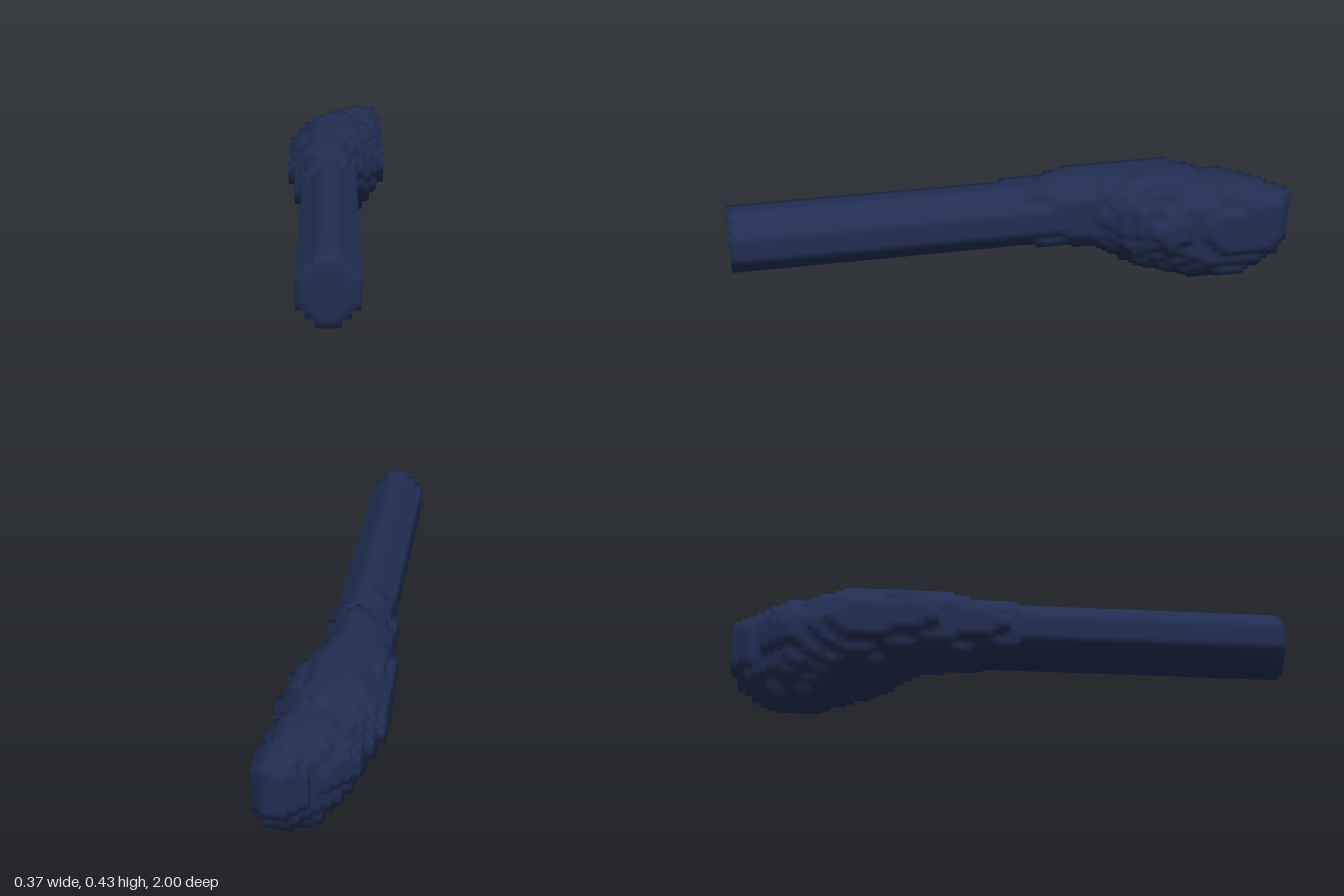
import * as THREE from 'three';

const H = 1 / 35;                       // size of one stepped cell
const NX = 13, NY = 15, NZ = 70;
const X0 = -NX * H / 2, Z0 = -1;

// Cross-sections along z: [z, left, right, bottom, top, widest x, widest y, lower left roundness]
const SECTIONS = [
  [-1.00, 0.08, 0.16, 0.18, 0.36, 0.12, 0.27, 2],
  [-0.96, 0.04, 0.19, 0.12, 0.38, 0.13, 0.26, 2],
  [-0.90, 0.00, 0.19, 0.06, 0.387, 0.09, 0.25, 1.8],
  [-0.84, -0.07, 0.19, 0.02, 0.405, 0.06, 0.25, 1.6],
  [-0.79, -0.12, 0.19, 0.005, 0.41, 0.04, 0.25, 1.5],
  [-0.72, -0.135, 0.18, 0.005, 0.41, 0.03, 0.25, 1.5],
  [-0.65, -0.17, 0.167, 0.005, 0.418, 0.01, 0.26, 1.5],
  [-0.58, -0.19, 0.167, 0.03, 0.435, 0.00, 0.27, 1.5],
  [-0.48, -0.19, 0.167, 0.06, 0.435, -0.01, 0.28, 1.6],
  [-0.40, -0.19, 0.135, 0.09, 0.435, -0.02, 0.29, 1.7],
  [-0.34, -0.19, 0.09, 0.125, 0.435, -0.03, 0.29, 1.8],
  [-0.28, -0.175, 0.075, 0.15, 0.435, -0.03, 0.29, 1.9],
  [-0.14, -0.16, 0.073, 0.155, 0.418, -0.03, 0.286, 2],
  [-0.04, -0.15, 0.073, 0.17, 0.405, -0.03, 0.286, 2],
  [0.05, -0.13, 0.073, 0.171, 0.401, -0.03, 0.286, 2],
  [1.00, -0.13, 0.073, 0.171, 0.401, -0.03, 0.286, 2],
];

function sectionAt(z) {
  let i = 0;
  while (i < SECTIONS.length - 2 && SECTIONS[i + 1][0] < z) i++;
  const a = SECTIONS[i], b = SECTIONS[i + 1];
  const t = (z - a[0]) / (b[0] - a[0]);
  return a.map((v, k) => v + (b[k] - v) * t);
}

// True where a cell lies within the rounded cross-section or the side knob
function solid(i, j, k) {
  if (i < 0 || j < 0 || k < 0 || i >= NX || j >= NY || k >= NZ) return false;
  const x = X0 + (i + 0.5) * H, y = (j + 0.5) * H, z = Z0 + (k + 0.5) * H;
  const [, l, r, b, t, cx, cy, lowLeft] = sectionAt(z);
  const u = x < cx ? (cx - x) / (cx - l) : (x - cx) / (r - cx);
  const v = y < cy ? (cy - y) / (cy - b) : (y - cy) / (t - cy);
  const e = x < cx && y < cy ? lowLeft : 2;
  if (u ** e + v ** e <= 1) return true;
  return x > 0 && Math.hypot((x - 0.06) / 0.13, (y - 0.245) / 0.12, (z + 0.56) / 0.13) < 1;
}

export function createModel() {
  const ids = new Map(), pos = [], links = [];
  const headIndex = [], shaftIndex = [];

  const vertex = (c) => {
    const key = c.join();
    if (!ids.has(key)) {
      ids.set(key, pos.length);
      pos.push(new THREE.Vector3(X0 + c[0] * H, c[1] * H, Z0 + c[2] * H));
      links.push(new Set());
    }
    return ids.get(key);
  };

  // Outer faces of all solid cells, wound to face outwards
  for (let i = 0; i < NX; i++) for (let j = 0; j < NY; j++) for (let k = 0; k < NZ; k++) {
    if (!solid(i, j, k)) continue;
    for (let axis = 0; axis < 3; axis++) for (const side of [0, 1]) {
      const n = [i, j, k];
      n[axis] += side ? 1 : -1;
      if (solid(...n)) continue;
      const p = (axis + 1) % 3, q = (axis + 2) % 3;
      const quad = [[0, 0], [1, 0], [1, 1], [0, 1]].map(([s, t]) => {
        const c = [i, j, k];
        c[axis] += side; c[p] += s; c[q] += t;
        return vertex(c);
      });
      if (!side) quad.reverse();
      const [a, b, c, d] = quad;
      quad.forEach((v, m) => {
        links[v].add(quad[(m + 1) % 4]);
        links[v].add(quad[(m + 3) % 4]);
      });
      (k * H + Z0 < -0.2 ? headIndex : shaftIndex).push(a, b, c, a, c, d);
    }
  }

  // Slightly soften the steps
  const soft = pos.map((p, v) => {
    const mean = new THREE.Vector3();
    links[v].forEach((w) => mean.add(pos[w]));
    return p.clone().lerp(mean.divideScalar(links[v].size), 0.25);
  });

  // Shaft and head share vertices so that shading runs on across the join
  const whole = new THREE.BufferGeometry().setFromPoints(soft);
  whole.setIndex([...headIndex, ...shaftIndex]);
  whole.computeVertexNormals();

  const material = new THREE.MeshStandardMaterial({ color: 0x212e52 });
  const group = new THREE.Group();
  group.name = 'steppedClub';
  for (const [name, index] of [['head', headIndex], ['shaft', shaftIndex]]) {
    const geometry = new THREE.BufferGeometry();
    geometry.setAttribute('position', whole.getAttribute('position'));
    geometry.setAttribute('normal', whole.getAttribute('normal'));
    geometry.setIndex(index);
    const mesh = new THREE.Mesh(geometry, material);
    mesh.name = name;
    group.add(mesh);
  }
  return group;
}
